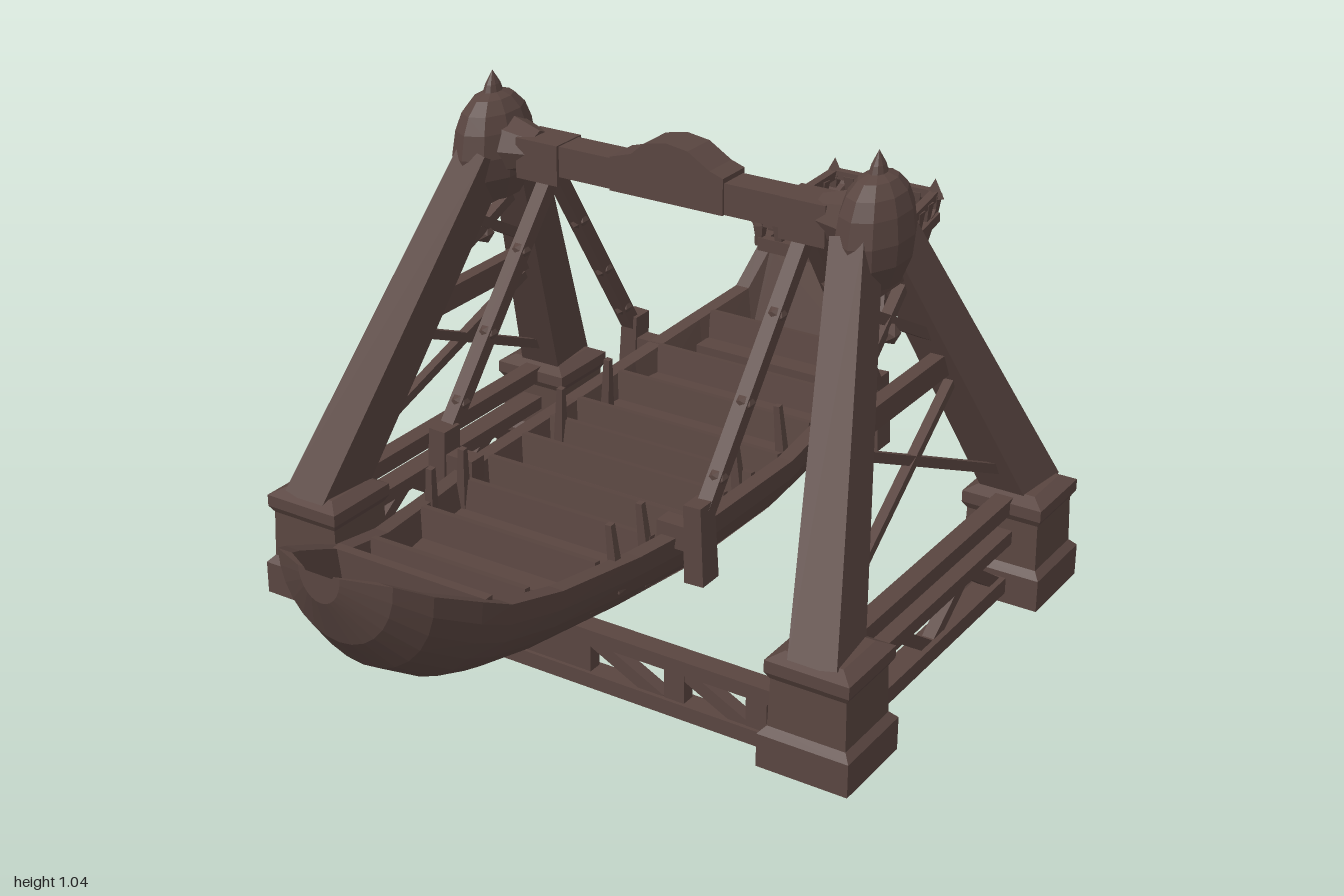
import * as THREE from 'three';

const wood = new THREE.MeshStandardMaterial({ color: 0x594540 });
wood.name = 'dark brown wood';
const V = (x, y, z) => new THREE.Vector3(x, y, z);
const ZC = -0.1; // swing axis position

// Adds a faceted mesh
function add(parent, geo, name, pos) {
  const g = geo.index ? geo.toNonIndexed() : geo;
  g.computeVertexNormals();
  const m = new THREE.Mesh(g, wood);
  m.name = name;
  if (pos) m.position.copy(pos);
  parent.add(m);
  return m;
}

const box = (parent, name, w, h, d, x, y, z) => add(parent, new THREE.BoxGeometry(w, h, d), name, V(x, y, z));

// Square beam between two points; w across x, d across the other side, taper at the top end
function beam(parent, name, p, q, w, d = w, taper = 1) {
  const dir = q.clone().sub(p);
  const g = new THREE.BoxGeometry(w, dir.length(), d);
  const a = g.attributes.position;
  for (let i = 0; i < a.count; i++) {
    if (a.getY(i) > 0) a.setXYZ(i, a.getX(i) * taper, a.getY(i), a.getZ(i) * taper);
  }
  const y = dir.normalize();
  const ref = Math.abs(y.x) > 0.9 ? V(0, 1, 0) : V(1, 0, 0);
  const x = ref.addScaledVector(y, -ref.dot(y)).normalize();
  g.applyMatrix4(new THREE.Matrix4().makeBasis(x, y, x.clone().cross(y)));
  return add(parent, g, name, p.clone().add(q).multiplyScalar(0.5));
}

const lathe = (pts, n) => new THREE.LatheGeometry(pts.map(p => new THREE.Vector2(...p)), n);

// Hull stations: z, half width, keel, gunwale, deck
const stations = [
  [1, 0.045, 0.48, 0.54, 0.535], [0.96, 0.125, 0.385, 0.53, 0.5], [0.9, 0.163, 0.31, 0.495, 0.44],
  [0.8, 0.188, 0.243, 0.445, 0.37], [0.73, 0.198, 0.22, 0.41, 0.31], [0.6, 0.214, 0.195, 0.38, 0.275],
  [0.4, 0.245, 0.175, 0.365, 0.255], [0.2, 0.27, 0.162, 0.36, 0.245], [-0.1, 0.275, 0.157, 0.36, 0.245],
  [-0.3, 0.262, 0.164, 0.375, 0.255], [-0.5, 0.225, 0.178, 0.41, 0.29], [-0.64, 0.185, 0.2, 0.445, 0.34],
  [-0.69, 0.16, 0.21, 0.53, 0.52], [-0.8, 0.15, 0.25, 0.545, 0.525], [-0.89, 0.145, 0.31, 0.565, 0.535],
  [-0.95, 0.14, 0.4, 0.58, 0.545], [-0.98, 0.135, 0.48, 0.595, 0.555], [-1, 0.125, 0.57, 0.61, 0.6],
];
function hullAt(z) {
  const i = Math.max(1, stations.findIndex(s => s[0] <= z));
  const [a, b] = [stations[i - 1], stations[i]];
  const t = (z - a[0]) / (b[0] - a[0]);
  return a.map((v, k) => v + (b[k] - v) * t);
}

// Closed loft: round outside, rim, then a sunken deck
function hullGeometry() {
  const N = 14, pos = [], idx = [];
  for (const [z, w, k, s, d] of stations) {
    for (let j = 0; j <= N; j++) {
      const t = Math.PI * j / N;
      pos.push(w * Math.cos(t), s - (s - k) * Math.sin(t), z);
    }
    const wi = w - Math.min(0.032, w * 0.3);
    pos.push(-wi, s, z, -wi * 0.93, d, z, wi * 0.93, d, z, wi, s, z);
  }
  const R = N + 5, last = (stations.length - 1) * R, keel = N / 2;
  for (let j = 0; j < R; j++) {
    const n = (j + 1) % R;
    for (let i = 0; i < stations.length - 1; i++) {
      const a = i * R + j, b = i * R + n;
      idx.push(a, b, a + R, b, b + R, a + R);
    }
    if (j !== keel && n !== keel) idx.push(keel, n, j, last + keel, last + j, last + n);
  }
  const g = new THREE.BufferGeometry();
  g.setAttribute('position', new THREE.Float32BufferAttribute(pos, 3));
  g.setIndex(idx);
  return g;
}

function buildShip() {
  const ship = new THREE.Group();
  ship.name = 'ship';
  add(ship, hullGeometry(), 'hull');
  // Rows of benches with backs
  for (const z of [-0.53, -0.37, -0.24, -0.1, 0, 0.1, 0.22, 0.33, 0.48, 0.66]) {
    const [, w, , s] = hullAt(z);
    const wi = (w - 0.033) * 2;
    box(ship, 'benchSeat', wi, 0.02, 0.055, 0, s - 0.065, z + 0.03);
    box(ship, 'benchBack', wi, 0.1, 0.016, 0, s - 0.045, z).rotation.x = -0.15;
  }
  box(ship, 'bowBoard', 0.34, 0.08, 0.02, 0, 0.39, 0.76);
  // Upright bar ends above the gunwale
  for (const z of [0.43, 0.33, 0, -0.17]) {
    for (const s of [-1, 1]) beam(ship, 'barPost', V(s * 0.215, 0.3, z), V(s * 0.205, 0.44, z + 0.01), 0.022, 0.022, 0.6);
  }
  // Stern gallery: side ledges, jagged low railing and raised corner points
  const corners = [V(-0.152, 0.592, -0.685), V(-0.128, 0.62, -0.975), V(0.128, 0.62, -0.975), V(0.152, 0.592, -0.685)];
  const drop = V(0, -0.052, 0);
  corners.forEach((p, i) => {
    const q = corners[(i + 1) % 4];
    beam(ship, 'sternRail', p, q, 0.02);
    beam(ship, 'sternLedge', p.clone().add(drop), q.clone().add(drop), 0.03, 0.022);
    for (let k = 0; k < 6; k++) {
      const t = p.clone().lerp(q, k / 6);
      beam(ship, 'sternRailTooth', t, t.clone().add(drop), 0.026, 0.026, 0.5);
    }
    add(ship, new THREE.ConeGeometry(0.024, 0.045, 4), 'sternPoint', V(p.x, p.y + 0.015, p.z));
  });
  return ship;
}

// One side tower, mirrored by s
function buildTower(s) {
  const tower = new THREE.Group();
  tower.name = s > 0 ? 'leftTower' : 'rightTower';
  const at = (y, k) => V(s * (0.587 - (y - 0.23) * 0.245), y, ZC + k * (0.405 - (y - 0.23) * 0.54));
  for (const k of [-1, 1]) {
    // Pedestal, hollowed underneath
    const base = lathe([[0, 0.06], [0.088, 0], [0.096, 0], [0.096, 0.07], [0.082, 0.085], [0.079, 0.185], [0.088, 0.2], [0.088, 0.225], [0.06, 0.24], [0, 0.24]]
      .map(([r, y]) => [r * Math.SQRT2, y]), 4).rotateY(Math.PI / 4);
    add(tower, base, 'pedestal', V(s * 0.59, 0, ZC + k * 0.398));
    beam(tower, 'leg', at(0.2, k), at(0.88, k), 0.1, 0.122, 0.7);
    beam(tower, 'lowerBrace', at(0.26, k), at(0.54, -k), 0.02);
    beam(tower, 'upperBrace', at(0.6, k), at(0.77, -k), 0.022);
  }
  beam(tower, 'crossBar', at(0.565, -1), at(0.565, 1), 0.03, 0.05);
  beam(tower, 'topTie', at(0.785, -1), at(0.785, 1), 0.04, 0.035);
  add(tower, new THREE.IcosahedronGeometry(0.024, 0), 'braceKnot', at(0.685, 0));
  // Side truss between pedestals
  for (const [y, h, w] of [[0.04, 0.035, 0.05], [0.145, 0.03, 0.05], [0.215, 0.035, 0.04]]) {
    box(tower, 'sideRail', w, h, 0.68, s * 0.59, y, ZC);
  }
  for (let i = 0; i < 4; i++) {
    const z = ZC - 0.3 + i * 0.15, up = i % 2;
    beam(tower, 'sideStrut', V(s * 0.59, up ? 0.14 : 0.04, z), V(s * 0.59, up ? 0.04 : 0.14, z + 0.15), 0.026);
  }
  // Domed hub with a small finial
  const hub = lathe([[0, 0.775], [0.075, 0.785], [0.104, 0.835], [0.11, 0.88], [0.1, 0.93], [0.083, 0.965], [0.055, 0.99], [0.026, 1], [0.02, 1.015], [0, 1.043]], 10);
  hub.scale(0.62, 1, 1);
  add(tower, hub, 'hub', V(s * 0.44, 0, ZC));
  // Axle collars
  const flare = new THREE.CylinderGeometry(0.04, 0.062, 0.07, 8).rotateZ(s * Math.PI / 2);
  add(tower, flare, 'axleFlare', V(s * 0.36, 0.895, ZC));
  box(tower, 'hangerCollar', 0.1, 0.085, 0.085, s * 0.305, 0.885, ZC);
  return tower;
}

// Hanging arms on one side
function buildHangers(s) {
  const g = new THREE.Group();
  g.name = s > 0 ? 'leftHangers' : 'rightHangers';
  for (const z of [0.28, -0.4]) {
    const top = V(s * 0.295, 0.86, ZC), end = V(s * 0.3, 0.4, z);
    beam(g, 'hangerArm', top, end, 0.03);
    for (const t of [0.3, 0.6, 0.85]) {
      add(g, new THREE.IcosahedronGeometry(0.022, 0), 'hangerKnot', top.clone().lerp(end, t));
    }
    beam(g, 'hangerFoot', V(s * 0.302, 0.28, z), V(s * 0.295, 0.44, z), 0.042, 0.055, 0.9);
    box(g, 'hangerBolt', 0.09, 0.05, 0.04, s * 0.26, 0.365, z);
  }
  return g;
}

export function createModel() {
  const model = new THREE.Group();
  model.name = 'swingingShipRide';
  model.add(buildShip());
  for (const s of [-1, 1]) model.add(buildTower(s), buildHangers(s));

  // Axle with raised crest
  box(model, 'axle', 0.8, 0.064, 0.07, 0, 0.893, ZC);
  const crest = new THREE.Shape([[-0.13, 0.86], [0.13, 0.86], [0.13, 0.935], [0.1, 0.945], [0.05, 0.975], [0, 0.982], [-0.05, 0.972], [-0.08, 0.945], [-0.13, 0.93]]
    .map(p => new THREE.Vector2(...p)));
  add(model, new THREE.ExtrudeGeometry(crest, { depth: 0.08, bevelEnabled: false }), 'axleCrest', V(0, 0, ZC - 0.04));

  // Front truss between the two front pedestals
  const zf = 0.34;
  box(model, 'frontLowerRail', 1.02, 0.032, 0.045, 0, 0.034, zf);
  box(model, 'frontUpperRail', 1.02, 0.03, 0.045, 0, 0.131, zf);
  box(model, 'frontPanel', 0.2, 0.1, 0.03, 0, 0.085, zf);
  for (const s of [-1, 1]) {
    for (const x of [0.29, 0.47]) box(model, 'frontPost', 0.045, 0.1, 0.03, s * x, 0.085, zf);
    beam(model, 'frontStrut', V(s * 0.1, 0.12, zf), V(s * 0.26, 0.04, zf), 0.028);
    beam(model, 'frontStrut', V(s * 0.3, 0.12, zf), V(s * 0.46, 0.04, zf), 0.028);
  }
  return model;
}
